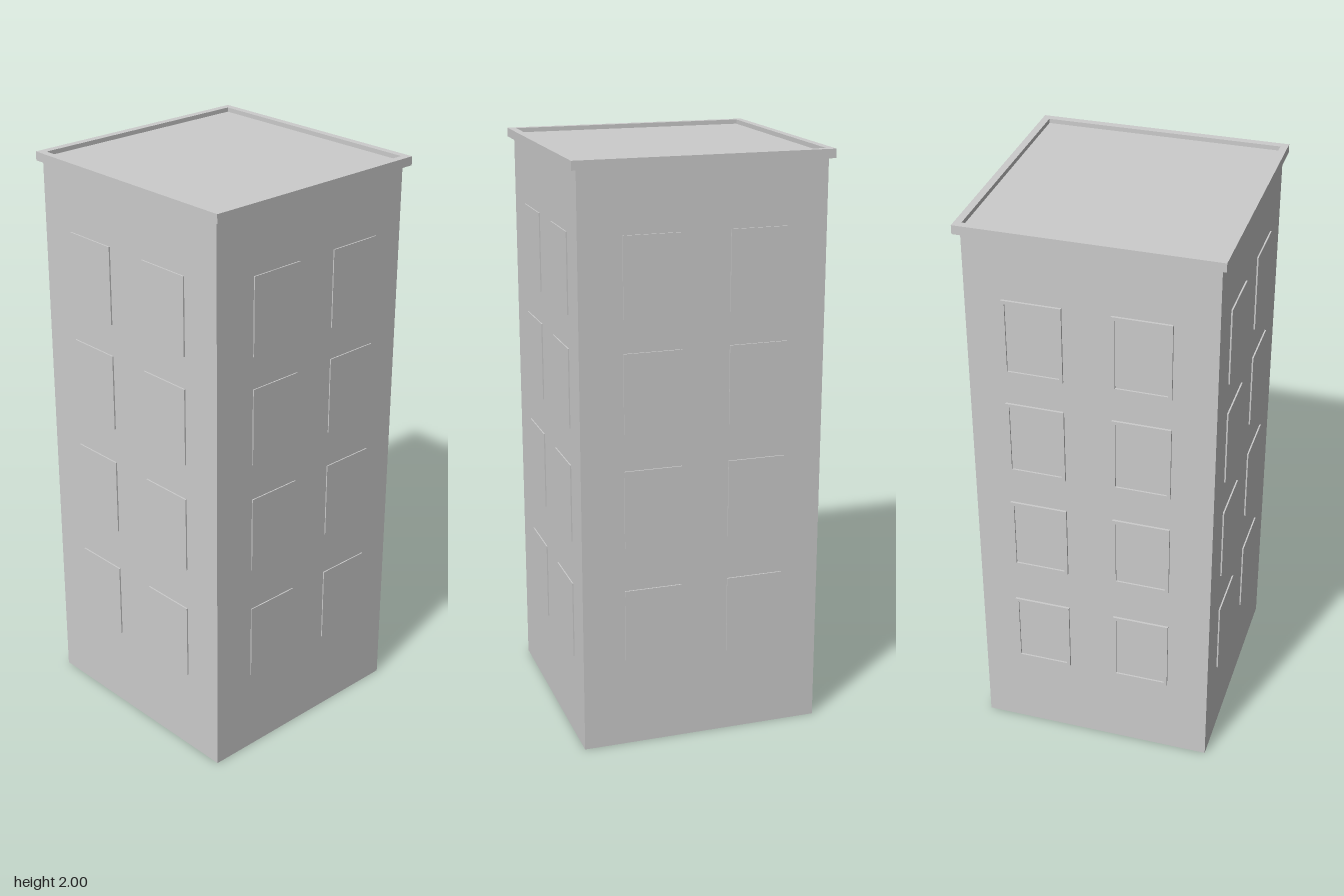
import * as THREE from 'three';

const material = new THREE.MeshStandardMaterial({ color: 0xcccccc });

// Rectangle outline, usable as a shape or as a hole
function rect(PathType, w, h) {
  const p = new PathType();
  p.moveTo(-w / 2, -h / 2);
  p.lineTo(w / 2, -h / 2);
  p.lineTo(w / 2, h / 2);
  p.lineTo(-w / 2, h / 2);
  p.closePath();
  return p;
}

// Rectangular ring lying in XY and rising along +z
function ring(w, h, innerW, innerH, depth) {
  const shape = rect(THREE.Shape, w, h);
  shape.holes.push(rect(THREE.Path, innerW, innerH));
  return new THREE.ExtrudeGeometry(shape, { depth, bevelEnabled: false });
}

function add(parent, name, geometry, x = 0, y = 0, z = 0) {
  const mesh = new THREE.Mesh(geometry, material);
  mesh.name = name;
  mesh.position.set(x, y, z);
  parent.add(mesh);
  return mesh;
}

export function createModel() {
  const building = new THREE.Group();
  building.name = 'apartmentBlock';

  // Plain tower body; its top is the sunken flat roof
  const roofY = 1.985;
  const bodyW = 0.836, bodyD = 0.82;
  const bodyX = -0.002, bodyZ = 0.003;
  add(building, 'body', new THREE.BoxGeometry(bodyW, roofY, bodyD), bodyX, roofY / 2, bodyZ);

  // Overhanging cornice that rises above the roof as a low parapet
  const cornice = add(building, 'cornice', ring(0.872, 0.857, 0.82, 0.808, 0.03), 0, 1.97, 0);
  cornice.rotation.x = -Math.PI / 2;

  // Shallow windows: two columns by four floors on each wall
  const winW = 0.197, winH = 0.268, border = 0.012;
  const floors = [0.43, 0.85, 1.245, 1.625];
  const walls = [
    { name: 'front', turn: 0, out: bodyD / 2, proud: 0.005, columns: [-0.183, 0.173] },
    { name: 'left', turn: Math.PI / 2, out: bodyW / 2, proud: 0.004, columns: [-0.157, 0.194] },
    { name: 'back', turn: Math.PI, out: bodyD / 2, proud: 0.005, columns: [-0.173, 0.187] },
    { name: 'right', turn: -Math.PI / 2, out: bodyW / 2, proud: 0.008, columns: [-0.19, 0.167], framed: true },
  ];
  for (const { name, turn, out, proud, columns, framed } of walls) {
    const wall = new THREE.Group();
    wall.name = name + 'Windows';
    wall.rotation.y = turn;
    wall.position.set(bodyX, 0, bodyZ);
    building.add(wall);
    const pane = framed ? 0.002 : proud;
    const frameGeo = ring(winW, winH, winW - 2 * border, winH - 2 * border, proud);
    const paneGeo = framed
      ? new THREE.BoxGeometry(winW - 2 * border, winH - 2 * border, pane)
      : new THREE.BoxGeometry(winW, winH, pane);
    for (const y of floors) {
      for (const x of columns) {
        if (framed) add(wall, 'windowFrame', frameGeo, x, y, out);
        add(wall, 'windowPane', paneGeo, x, y, out + pane / 2);
      }
    }
  }
  return building;
}
